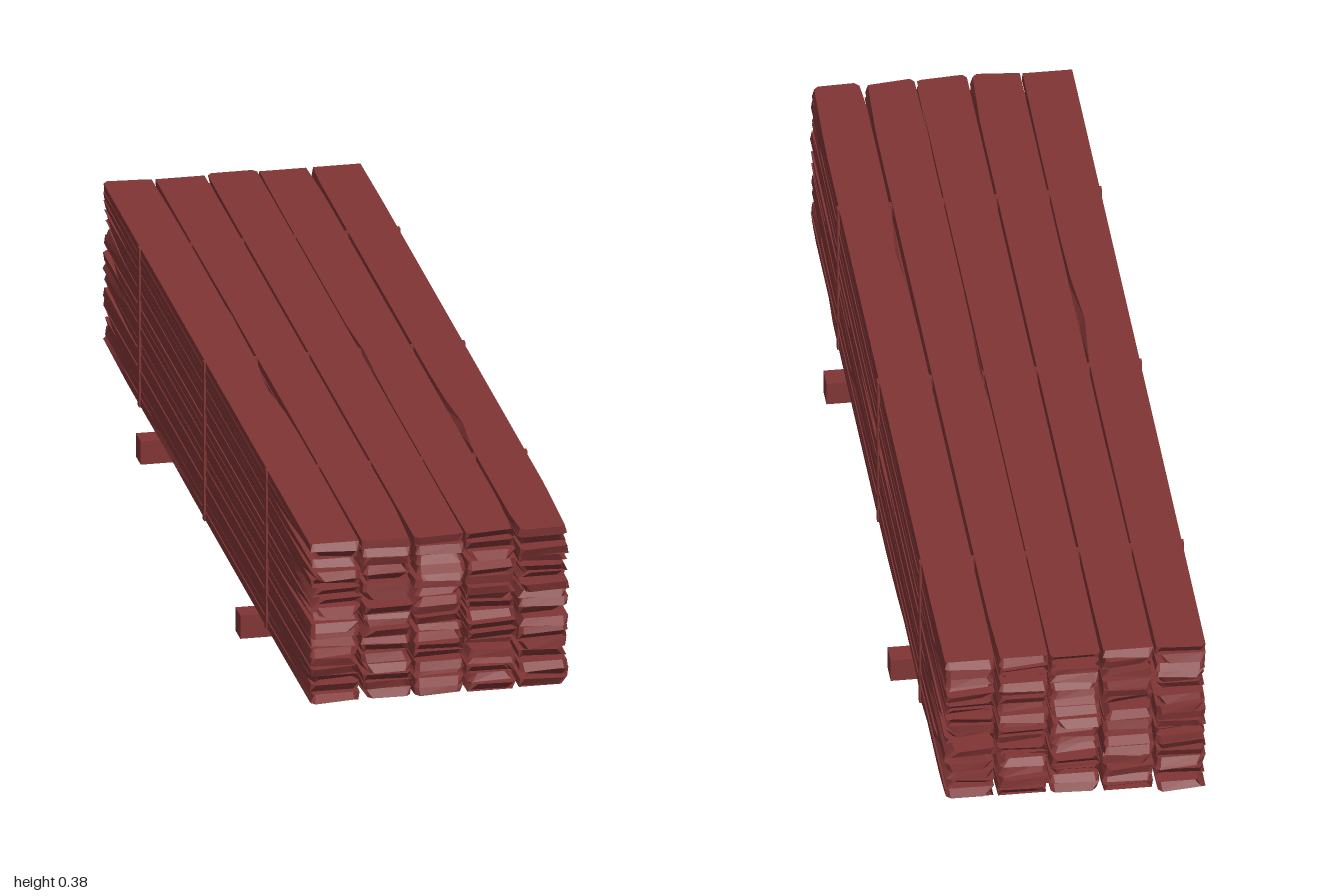
import * as THREE from 'three';

// small seeded random generator
function seeded(seed) {
  let s = seed;
  return (a = 0, b = 1) => {
    s = (s * 1664525 + 1013904223) % 4294967296;
    return a + (b - a) * (s / 4294967296);
  };
}

const LAYERS = 18, BEAM_TOP = 0.048, STACK_TOP = 0.376;
const PITCH = (STACK_TOP - BEAM_TOP) / LAYERS;
const COLUMNS = [-0.205, -0.104, -0.002, 0.1, 0.203];

// rough-sawn board: a long box whose long edges and ends are worn away
function plankGeometry(rand, width, thick, zMin, zMax, calm) {
  const geo = new THREE.BoxGeometry(2, 2, 2, 1, 1, 22);
  const pos = geo.attributes.position;
  // one wear rule for each long side
  const sides = [-1, 1].map(() => ({
    slope: rand() < 0.5 ? 1 : -1,
    front: rand() < 0.55 ? rand(0.004, 0.02) : 0.003,
    back: rand() < 0.55 ? rand(0.004, 0.02) : 0.003,
    reach: rand(0.04, 0.35),
    dip: rand() < 0.25 ? rand(0.005, 0.014) : 0,
    dipAt: rand(-0.8, 0.8),
    dipSize: rand(0.06, 0.16),
  }));
  const endSlope = [rand(-0.012, 0.012), rand(-0.012, 0.012)];
  const endSkew = [rand(-0.006, 0.006), rand(-0.006, 0.006)];

  for (let i = 0; i < pos.count; i++) {
    const sx = Math.sign(pos.getX(i)), sy = Math.sign(pos.getY(i));
    const u = pos.getZ(i);
    const t = Math.sin(u * Math.PI / 2);          // rings crowd towards the ends
    const side = sides[sx < 0 ? 0 : 1];
    const endWear = (u > 0 ? side.front : side.back) *
      Math.max(0, 1 - (1 - Math.abs(t)) / side.reach) * (calm ? 0.5 : 1);
    const dip = side.dip * Math.exp(-(((t - side.dipAt) / side.dipSize) ** 2));
    const corner = Math.abs(u) > 0.99 ? 0.008 : 0;
    const edge = sy === side.slope ? 1 : 0.15;    // only one arris is badly worn
    const inset = (endWear + dip) * edge + corner;
    let z = (zMin + zMax) / 2 + t * (zMax - zMin) / 2;
    if (Math.abs(u) > 0.99) {
      const e = u > 0 ? 1 : 0;
      const cut = Math.abs(endSlope[e]) - endSlope[e] * sy
        + Math.abs(endSkew[e]) - endSkew[e] * sx;
      z -= Math.sign(u) * cut;
    }
    pos.setXYZ(i, sx * (width / 2 - inset), sy * thick / 2, z);
  }
  const flat = geo.toNonIndexed();
  flat.computeVertexNormals();
  return flat;
}

export function createModel() {
  const model = new THREE.Group();
  model.name = 'lumberStack';
  const wood = new THREE.MeshStandardMaterial({ color: 0x803535 });
  wood.name = 'red brown wood';
  const rand = seeded(4711);

  const add = (parent, name, geo, x, y, z) => {
    const mesh = new THREE.Mesh(geo, wood);
    mesh.name = name;
    mesh.position.set(x, y, z);
    parent.add(mesh);
  };

  // two cross beams carry the stack
  for (const z of [-0.465, 0.467]) {
    add(model, 'crossBeam', new THREE.BoxGeometry(0.584, BEAM_TOP, 0.045), 0, BEAM_TOP / 2, z);
  }

  // five columns of stacked planks
  const planks = new THREE.Group();
  planks.name = 'planks';
  model.add(planks);
  for (let layer = 0; layer < LAYERS; layer++) {
    const top = layer === LAYERS - 1;
    COLUMNS.forEach((x, column) => {
      const longest = column === 1 && layer === 10;
      const zMin = longest ? -1 : top ? -0.98 : rand(-0.995, -0.965);
      const zMax = longest ? 1 : top ? 0.973 : rand(0.96, 0.99);
      const geo = plankGeometry(rand, 0.098, 0.0166, zMin, zMax, top);
      add(planks, 'plank', geo, x + rand(-0.0015, 0.0015),
        BEAM_TOP + (layer + 0.5) * PITCH + rand(-0.0003, 0.0003), 0);
    });
  }

  // thin upright strips between the columns and on the outer sides
  const strips = new THREE.Group();
  strips.name = 'spacerStrips';
  model.add(strips);
  const stripHeight = STACK_TOP - BEAM_TOP;
  for (const z of [-0.627, -0.018, 0.563]) {
    for (const x of [-0.2555, -0.1545, -0.053, 0.049, 0.1515, 0.2535]) {
      add(strips, 'spacerStrip', new THREE.BoxGeometry(0.005, stripHeight, 0.014),
        x, BEAM_TOP + stripHeight / 2 - 0.001, z);
    }
  }
  return model;
}
